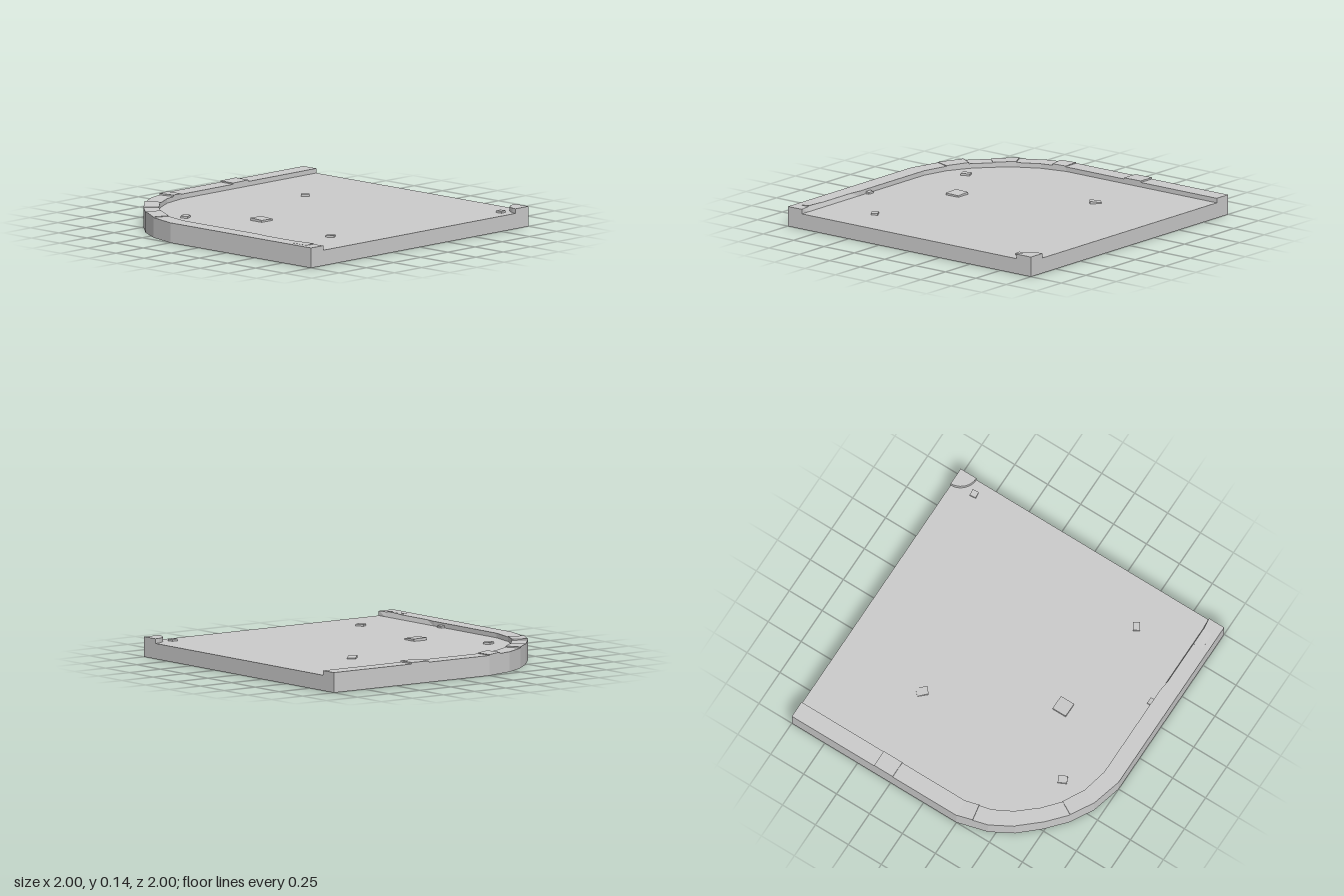
import * as THREE from 'three';

const FLOOR = 0.1, CURB = 0.13;
const mat = new THREE.MeshStandardMaterial({ color: 0xcccccc, flatShading: true, side: THREE.DoubleSide });

// Quads between two rows of [x, y, z] points
function strip(a, b) {
  const v = [];
  for (let i = 0; i < a.length - 1; i++) {
    v.push(...a[i], ...b[i], ...b[i + 1], ...a[i], ...b[i + 1], ...a[i + 1]);
  }
  const g = new THREE.BufferGeometry();
  g.setAttribute('position', new THREE.Float32BufferAttribute(v, 3));
  g.computeVertexNormals();
  return g;
}

export function createModel() {
  const model = new THREE.Group();
  const add = (name, geometry, parent = model) => {
    const mesh = new THREE.Mesh(geometry, mat);
    mesh.name = name;
    parent.add(mesh);
    return mesh;
  };
  const at = (row, y) => row.map(([x, z]) => [x, y, z]);

  // Curb plan as [x, z], from the front end round the corner to the far side
  const arcOut = [[-1, -0.25], [-0.945, -0.455], [-0.86, -0.605], [-0.74, -0.74], [-0.605, -0.86], [-0.455, -0.945], [-0.25, -1]];
  const arcIn = [[-0.885, -0.24], [-0.845, -0.415], [-0.77, -0.555], [-0.67, -0.67], [-0.555, -0.77], [-0.415, -0.845], [-0.24, -0.885]];
  const wornZ = [1, 0.93, 0.9, 0.5, 0.42];
  const outer = [...wornZ.map(z => [-1, z]), ...arcOut, [1, -1]];
  const inner = [...wornZ.map(z => [-0.885, z]), ...arcIn, [1, -0.885]];
  // Worn stretch of the upper inner edge
  const innerTop = inner.map(([x, z], i) => [i > 0 && i < 4 ? x - 0.01 : x, z]);

  // Quarter round kerb in the opposite corner
  const R = 0.12;
  const quarter = [];
  for (let i = 0; i <= 6; i++) {
    const t = (i / 6) * Math.PI / 2;
    quarter.push([1 - R * Math.cos(t), 1 - R * Math.sin(t)]);
  }

  // Loose stones: x, z, width, depth, turn, four corner heights
  const stones = [
    [-0.42, 0, 0.1, 0.1, 0, [0.118, 0.113, 0.11, 0.115]],
    [-0.685, -0.42, 0.06, 0.05, 0.45, [0.113, 0.113, 0.113, 0.113]],
    [0.395, -0.4, 0.075, 0.055, 0.75, [0.116, 0.116, 0.106, 0.106]],
    [-0.52, 0.71, 0.045, 0.055, 0.55, [0.112, 0.112, 0.112, 0.112]],
    [0.84, 0.91, 0.043, 0.043, 0.1, [0.113, 0.113, 0.113, 0.113]],
    [-0.872, 0.33, 0.025, 0.045, 0, [0.115, 0.115, 0.112, 0.112]]
  ].map(([x, z, w, d, turn, heights]) => {
    const c = Math.cos(turn), s = Math.sin(turn);
    const plan = [[-1, -1], [-1, 1], [1, 1], [1, -1]].map(([i, j]) => {
      const px = i * w / 2, pz = j * d / 2;
      return [x + px * c + pz * s, z - px * s + pz * c];
    });
    return { plan, heights };
  });

  // Flat shape lying at height y
  const flat = (plan, y, holes = []) => {
    const path = p => p.map(([x, z]) => new THREE.Vector2(x, -z));
    const shape = new THREE.Shape(path(plan));
    holes.forEach(h => shape.holes.push(new THREE.Path(path(h))));
    return new THREE.ShapeGeometry(shape).rotateX(-Math.PI / 2).translate(0, y, 0);
  };

  // Open-bottomed four-cornered stone with its own corner heights
  const block = (name, plan, base, heights) => {
    const g = new THREE.Group();
    g.name = name;
    model.add(g);
    const top = plan.map(([x, z], i) => [x, heights[i], z]);
    const low = at(plan, base);
    add(name + 'Sides', strip([...top, top[0]], [...low, low[0]]), g);
    add(name + 'Top', strip([top[0], top[3]], [top[1], top[2]]), g);
  };

  // Ground surface, open beneath the stones
  add('ground', flat([...inner, ...quarter.slice().reverse()], FLOOR, stones.map(s => s.plan)));

  // Curb top and inner face
  add('curbTop', strip(at(outer, CURB), at(innerTop, CURB)));
  add('curbInnerFace', strip(at(innerTop, CURB), at(inner, FLOOR)));

  // Corner kerb
  add('cornerKerbTop', flat([...quarter, [1, 1]], CURB));
  add('cornerKerbFace', strip(at(quarter, FLOOR), at(quarter, CURB)));

  // Outer skirt, stepping with the edge heights: [x, z, height]
  const rim = [
    ...outer.slice().reverse().map(([x, z]) => [x, z, CURB]),
    [-0.885, 1, CURB], [-0.885, 1, FLOOR], [1 - R, 1, FLOOR], [1 - R, 1, CURB],
    [1, 1, CURB], [1, 1 - R, CURB], [1, 1 - R, FLOOR],
    [1, -0.885, FLOOR], [1, -0.885, CURB], [1, -1, CURB]
  ];
  add('skirt', strip(rim.map(([x, z, h]) => [x, h, z]), at(rim, 0)));

  // Raised curb stones
  const raised = [
    [[[0.235, -1], [0.235, -0.885], [0.375, -0.885], [0.375, -1]], [0.138, 0.138, 0.14, 0.14]],
    [[[-0.355, -0.972], [-0.335, -0.863], [-0.245, -0.885], [-0.25, -1]], [0.14, 0.14, 0.135, 0.135]],
    [[arcOut[3], arcIn[3], arcIn[4], arcOut[4]], [0.133, 0.133, 0.138, 0.138]],
    [[arcOut[1], arcIn[1], arcIn[2], arcOut[2]], [0.134, 0.134, 0.139, 0.139]],
    [[[-0.96, 0.8], [-0.96, 0.92], [-0.895, 0.92], [-0.895, 0.8]], [0.131, 0.131, 0.136, 0.132]]
  ];
  raised.forEach(([plan, heights]) => block('raisedCurbStone', plan, CURB, heights));

  // Loose paving stones
  stones.forEach(s => block('looseStone', s.plan, FLOOR, s.heights));

  return model;
}
